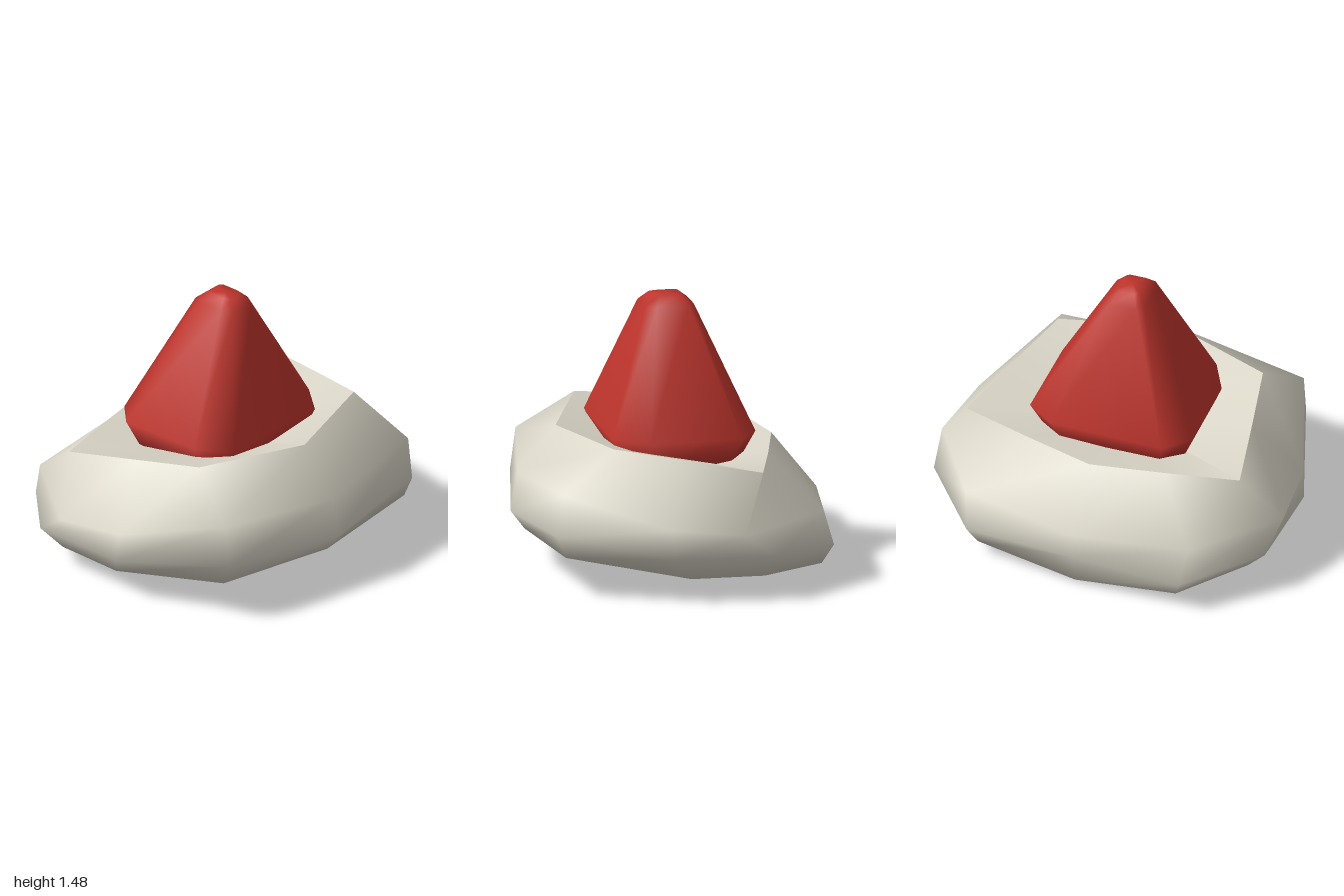
import * as THREE from 'three';

// Skins rings of points, listed from top to bottom and counter-clockwise from above.
function loft(rings) {
  const n = rings[0].length;
  const index = [];
  for (let r = 0; r < rings.length - 1; r++) {
    for (let i = 0; i < n; i++) {
      const j = (i + 1) % n;
      const a = r * n + i, b = r * n + j, c = a + n, d = b + n;
      index.push(a, c, b, b, c, d);
    }
  }
  const geometry = new THREE.BufferGeometry();
  geometry.setAttribute('position', new THREE.Float32BufferAttribute(rings.flat(2), 3));
  geometry.setIndex(index);
  geometry.computeVertexNormals();
  return geometry;
}

// Completes a half ring (front centre, left side, back centre) by mirroring.
function mirrorRing(half) {
  const other = half.slice(1, -1).reverse().map(([x, y, z]) => [-x, y, z]);
  return [...half, ...other];
}

export function createModel() {
  const ivory = new THREE.MeshStandardMaterial({ color: 0xd9d5c7, side: THREE.DoubleSide });
  ivory.name = 'ivory';
  const red = new THREE.MeshStandardMaterial({ color: 0xc0352d });
  red.name = 'red';

  const group = new THREE.Group();
  const add = (name, geometry, material) => {
    const mesh = new THREE.Mesh(geometry, material);
    mesh.name = name;
    group.add(mesh);
  };

  // Brim: front centre, front corner, side, rear side, back corner, back centre
  const rim = [[0, 0.77, 0.59], [0.6, 0.785, 0.38], [0.7, 0.73, 0], [0.8, 0.67, -0.4], [0.4, 0.67, -0.5], [0, 0.67, -0.59]];
  const upper = [[0, 0.52, 0.8], [0.71, 0.57, 0.68], [0.95, 0.41, 0.12], [1, 0.38, -0.27], [0.65, 0.4, -0.76], [0, 0.36, -0.835]];
  const middle = [[0, 0.3, 0.835], [0.71, 0.34, 0.71], [0.96, 0.25, 0.1], [0.97, 0.25, -0.45], [0.62, 0.2, -0.82], [0, 0.2, -0.82]];
  const lower = [[0, 0.2, 0.76], [0.7, 0.22, 0.66], [0.85, 0.11, 0], [0.85, 0.11, -0.4], [0.58, 0.09, -0.76], [0, 0.02, -0.78]];
  const keelFront = [0, 0.02, 0], keelBack = [0, 0, -0.6];
  const keel = [keelFront, keelFront, keelFront, keelFront, keelBack, keelBack];
  add('brim', loft([rim, upper, middle, lower, keel].map(mirrorRing)), ivory);

  // Shallow dish inside the brim
  const rimRing = mirrorRing(rim);
  add('brimDish', loft([rimRing.map(() => [0, 0.57, -0.03]), rimRing]), ivory);

  // Pointed crown: one eight-cornered outline scaled along its height
  const outline = [[-0.33, 0.375], [0.34, 0.34], [0.48, 0.16], [0.45, -0.35], [0.29, -0.45], [-0.35, -0.42], [-0.47, -0.29], [-0.44, 0.19]];
  const crownRing = ([y, sx, sz]) => outline.map(([x, z]) => [x * sx, y, z * sz]);
  const levels = [[1.48, 0, 0], [1.48, 0.13, 0.2], [1.43, 0.24, 0.34], [0.765, 1, 1], [0.6, 0.86, 0.82], [0.6, 0, 0]];
  add('crown', loft(levels.map(crownRing)), red);

  return group;
}
